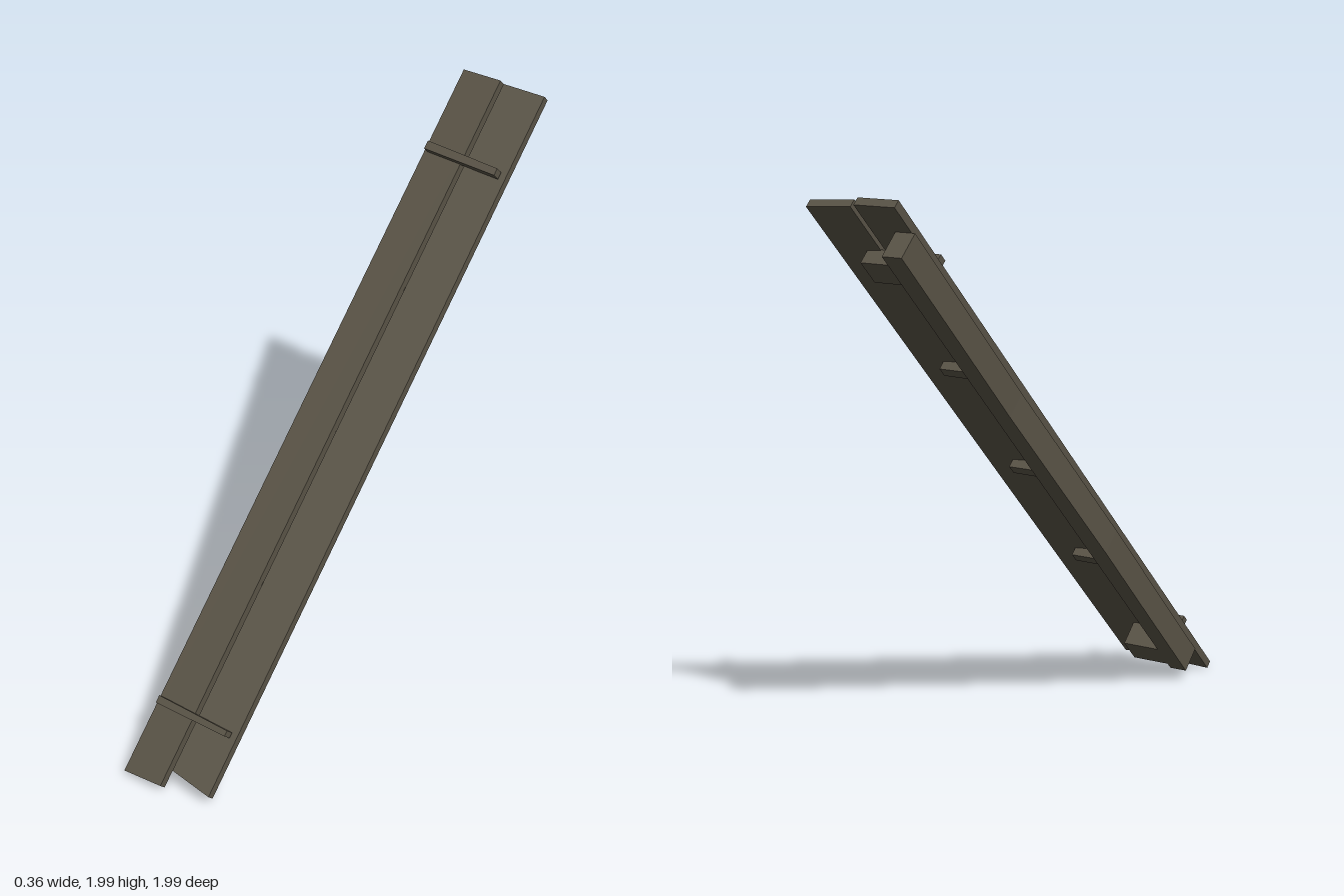
import * as THREE from 'three';

const wood = new THREE.MeshStandardMaterial({ color: 0x5a5447 });
wood.name = 'weathered wood';

// Box whose corners are placed by a rule; the rule gets the sides as -1..1
function hewn(name, rule, segments = 1) {
  const geometry = new THREE.BoxGeometry(2, 2, 2, 1, segments, 1).toNonIndexed();
  const p = geometry.attributes.position;
  for (let i = 0; i < p.count; i++) p.setXYZ(i, ...rule(p.getX(i), p.getY(i), p.getZ(i)));
  geometry.computeVertexNormals();
  const mesh = new THREE.Mesh(geometry, wood);
  mesh.name = name;
  return mesh;
}

const mix = (a, b, t) => a + (b - a) * (t + 1) / 2;

// Rough board: ends cut askew, and one long edge slightly lower
function board(name, x0, x1, bottom, top, level) {
  return hewn(name, (x, y, z) => [
    mix(x0, x1, x),
    mix(mix(...bottom, x), mix(...top, x), y),
    mix(...level, x) + z * 0.015,
  ]);
}

// Crosspiece lying along x, shrunk a little at its ends and skewed
function crosspiece(name, x, s, n, skew = 0, taper = 1) {
  const half = (s[1] - s[0]) / 2, mid = (s[0] + s[1]) / 2;
  return hewn(name, (u, v, w) => [
    mix(...x, u),
    mid + v * half * (u > 0 ? taper : 1) + u * skew,
    mix(...n, w),
  ]);
}

export function createModel() {
  const model = new THREE.Group();
  model.name = 'slopingPlanks';

  // Local y runs up the slope, local z points out of the walking surface
  const slope = new THREE.Group();
  slope.name = 'slope';
  slope.rotation.x = -Math.PI / 4;
  slope.position.y = 1;
  model.add(slope);

  // Two boards with a narrow gap
  slope.add(
    board('rightBoard', -0.168, -0.008, [-1.392, -1.38], [1.386, 1.386], [0, 0]),
    board('leftBoard', 0.008, 0.175, [-1.314, -1.337], [1.378, 1.381], [-0.002, -0.017]),
  );

  // Long beam under the right board, with an uneven outer side
  slope.add(hewn('beam', (x, y, z) => [
    x < 0 ? -0.178 + 0.004 * Math.sin(y * 5) : -0.105,
    mix(-1.243, 1.266, y),
    z > 0 ? -0.016 : -0.115,
  ], 6));

  // End blocks fixed to the beam
  slope.add(
    crosspiece('upperBlock', [-0.12, 0.06], [1.065, 1.165], [-0.072, -0.014]),
    crosspiece('lowerBlock', [-0.12, 0.045], [-1.213, -1.105], [-0.115, -0.014]),
  );

  // Thin battens underneath
  for (const s of [-0.595, -0.02, 0.557]) {
    slope.add(crosspiece('batten', [-0.12, 0.07], [s - 0.021, s + 0.021], [-0.054, -0.013], 0.002, 0.9));
  }

  // Foot cleats across the top
  slope.add(
    crosspiece('upperCleat', [-0.155, 0.155], [1.047, 1.079], [0.008, 0.045], -0.008, 0.85),
    crosspiece('lowerCleat', [-0.155, 0.155], [-1.13, -1.102], [0.008, 0.045], 0.001, 0.75),
  );
  return model;
}
